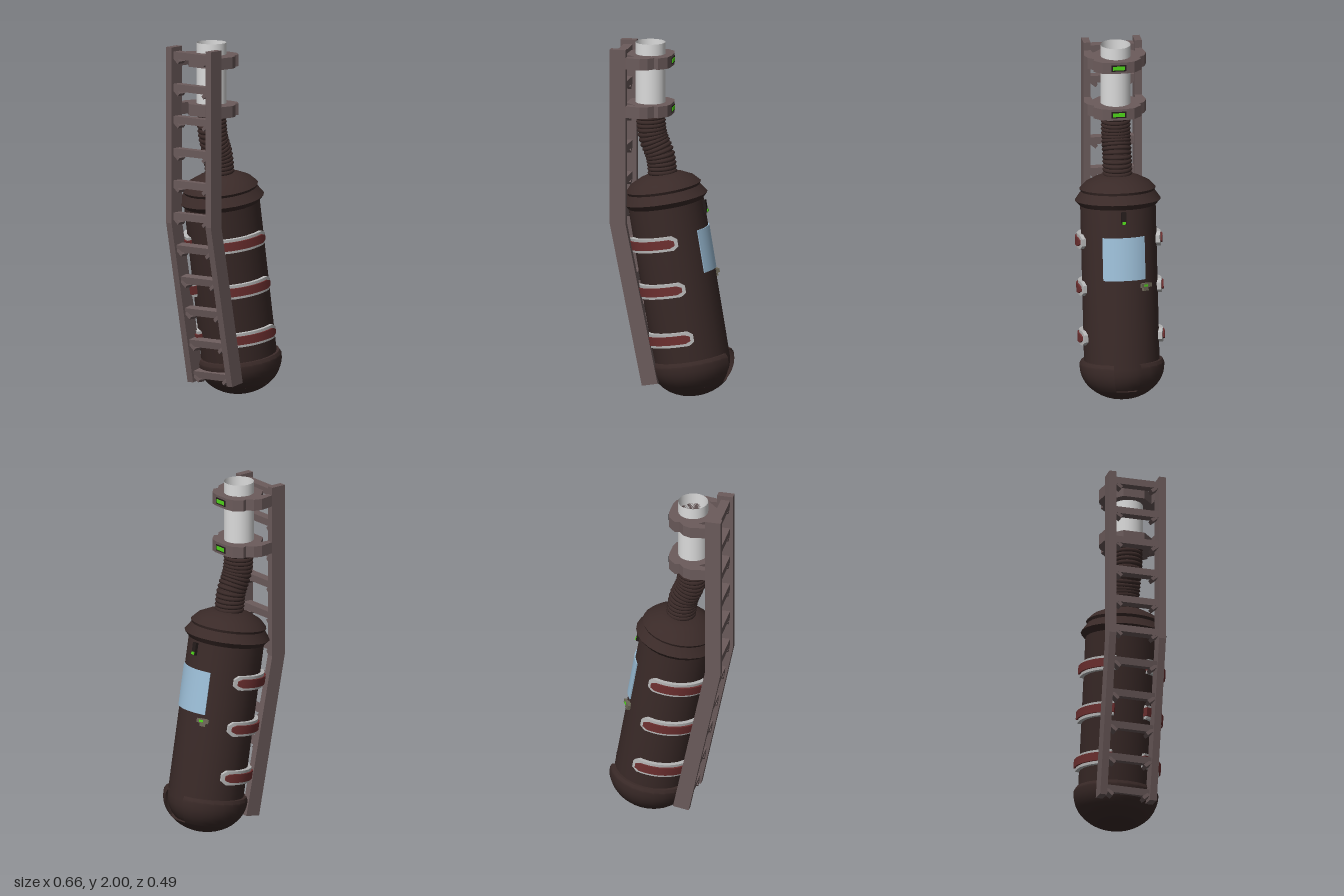
import * as THREE from 'three';
import { toCreasedNormals } from 'three/addons/utils/BufferGeometryUtils.js';

const mat = (name, color, side = THREE.FrontSide) => {
  const m = new THREE.MeshStandardMaterial({ color, side });
  m.name = name;
  return m;
};
const hullMat = mat('dark brown hull', 0x3a2a28, THREE.DoubleSide);
const frameMat = mat('grey brown frame', 0x6b5b5b);
const pipeMat = mat('pale grey pipe', 0xdcdcdc, THREE.DoubleSide);
const trimMat = mat('grey trim', 0xb8b8b8);
const redMat = mat('dull red', 0x6e3030);
const glassMat = mat('pale blue glass', 0x9bbdd6);
const greenMat = mat('green lamp', 0x4fd61a);
const latchMat = mat('olive latch', 0x6b6656);
const blackMat = mat('dark recess', 0x231b1a);

function add(parent, name, geometry, material, x = 0, y = 0, z = 0) {
  const mesh = new THREE.Mesh(geometry, material);
  mesh.name = name;
  mesh.position.set(x, y, z);
  parent.add(mesh);
  return mesh;
}
const box = (x, y, z) => new THREE.BoxGeometry(x, y, z);

function lathe(points, segments = 24, start = 0, length = Math.PI * 2) {
  const pts = points.map(([r, y]) => new THREE.Vector2(r, y));
  return toCreasedNormals(new THREE.LatheGeometry(pts, segments, start, length), 0.5);
}

// Points of an elliptical dome between two angles below the rim
function dome(a, b, from, to, n) {
  return Array.from({ length: n + 1 }, (_, i) => {
    const t = THREE.MathUtils.degToRad(from + (to - from) * i / n);
    return [Math.max(a * Math.cos(t), 0), -b * Math.sin(t)];
  });
}

// Plate bent round the hull; angles in degrees from +x towards +z.
// The end at angle 'tip' is chamfered.
function bentPlate(a0, a1, y0, y1, r0, r1, tip = null) {
  const g = new THREE.BoxGeometry(1, 1, 1, 12, 1, 1);
  const p = g.attributes.position;
  for (let i = 0; i < p.count; i++) {
    const deg = a1 - (p.getX(i) + 0.5) * (a1 - a0);
    const a = THREE.MathUtils.degToRad(deg);
    const k = tip !== null && Math.abs(deg - tip) < 0.1 ? 0.5 : 1;
    const y = (y0 + y1) / 2 + p.getY(i) * (y1 - y0) * k;
    const r = p.getZ(i) > 0 ? r1 : r0;
    p.setXYZ(i, r * Math.cos(a), y, r * Math.sin(a));
  }
  return toCreasedNormals(g, 0.5);
}

function buildPod() {
  const pod = new THREE.Group();
  pod.name = 'pod';
  pod.position.set(0.1, 0.195, 0);
  pod.rotation.z = THREE.MathUtils.degToRad(9.5);

  // Hull with collar and stepped conical cap
  add(pod, 'hull', lathe([
    ...dome(0.212, 0.188, 90, 0, 8), [0.212, 0.905], [0.24, 0.935], [0.205, 0.985],
    [0.213, 1.0], [0.18, 1.035], [0.12, 1.065], [0.085, 1.075], [0, 1.075],
  ]), hullMat);

  // Bottom cover with a notch at its front
  const notch = THREE.MathUtils.degToRad(19);
  add(pod, 'bottomCover', lathe([
    ...dome(0.237, 0.195, 42, 0, 6), [0.237, 0.012], [0.228, 0.03], [0.21, 0.03],
  ], 22, Math.PI / 2 + notch, Math.PI * 2 - notch * 2), hullMat);
  add(pod, 'bottomCap', lathe([...dome(0.237, 0.195, 90, 42, 6), [0.155, -0.128]]), hullMat);

  // Red side bands in grey trim, mirrored
  for (const y of [0.165, 0.445, 0.71]) {
    for (const s of [1, -1]) {
      const span = (a, b) => (s > 0 ? [a, b] : [-b, -a]);
      add(pod, 'bandTrim', bentPlate(...span(69, 156), y - 0.04, y + 0.04, 0.205, 0.234, 69 * s), trimMat);
      add(pod, 'band', bentPlate(...span(74, 157), y - 0.024, y + 0.024, 0.21, 0.244, 74 * s), redMat);
    }
  }

  // Front window
  add(pod, 'window', bentPlate(-33, 33, 0.506, 0.748, 0.212, 0.219), glassMat);

  // Lamp above the window
  add(pod, 'lampBody', box(0.025, 0.07, 0.028), blackMat, 0.215, 0.86, 0);
  add(pod, 'lampLight', box(0.008, 0.015, 0.02), greenMat, 0.229, 0.835, 0);

  // Latch below the window corner
  const latch = new THREE.Group();
  latch.name = 'latch';
  latch.rotation.y = THREE.MathUtils.degToRad(32);
  add(latch, 'latchHandle', box(0.016, 0.022, 0.07), latchMat, 0.226, 0.473, 0);
  add(latch, 'latchBase', box(0.02, 0.042, 0.034), latchMat, 0.218, 0.463, 0);
  add(latch, 'latchLight', box(0.006, 0.012, 0.022), greenMat, 0.234, 0.473, 0.008);
  pod.add(latch);
  return pod;
}

function buildHose() {
  const hose = new THREE.Group();
  hose.name = 'hose';
  const path = new THREE.CatmullRomCurve3([
    [-0.065, 1.22], [-0.083, 1.36], [-0.125, 1.47], [-0.14, 1.62],
  ].map(([x, y]) => new THREE.Vector3(x, y, 0)));
  add(hose, 'hoseCore', new THREE.TubeGeometry(path, 24, 0.072, 20), hullMat);
  const ring = new THREE.TorusGeometry(0.072, 0.012, 6, 20);
  const count = 19;
  for (let i = 0; i < count; i++) {
    const t = i / (count - 1);
    const rib = add(hose, 'hoseRib', ring, hullMat);
    rib.position.copy(path.getPointAt(t));
    rib.quaternion.setFromUnitVectors(new THREE.Vector3(0, 0, 1), path.getTangentAt(t));
  }
  return hose;
}

function buildLadder() {
  const ladder = new THREE.Group();
  ladder.name = 'ladder';
  const side = new THREE.Shape([
    [-0.335, 1.98], [-0.335, 0.99], [-0.152, 0.075], [-0.062, 0.09], [-0.245, 0.99], [-0.245, 1.98],
  ].map(([x, y]) => new THREE.Vector2(x, y)));
  const rail = new THREE.ExtrudeGeometry(side, { depth: 0.04, bevelEnabled: false });
  for (const z of [0.124, -0.164]) add(ladder, 'rail', rail, frameMat, 0, 0, z);

  // Rungs follow the bend of the rails
  for (let i = 0; i < 11; i++) {
    const y = 1.935 - i * 0.181;
    const low = Math.max(0, 0.99 - y);
    const rung = add(ladder, 'rung', box(0.052, 0.04, 0.26), frameMat, -0.293 + low * 0.2, y, 0);
    if (low > 0) rung.rotation.z = 0.2;
    // Small corner braces under each rung end
    for (const s of [1, -1]) {
      const brace = add(ladder, 'rungBrace', box(0.05, 0.02, 0.055), frameMat,
        rung.position.x, y - 0.022, s * 0.108);
      brace.rotation.x = -s * 0.7;
    }
  }
  return ladder;
}

function buildClamp(y) {
  const clamp = new THREE.Group();
  clamp.name = 'clamp';
  clamp.position.y = y;
  const half = [
    [-0.01, 0.045], [-0.02, 0.09], [-0.065, 0.135], [-0.09, 0.127], [-0.12, 0.16],
    [-0.163, 0.175], [-0.25, 0.16], [-0.25, 0.124], [-0.2, 0.12], [-0.262, 0.06],
  ];
  const outline = [...half, ...half.map(([x, z]) => [x, -z]).reverse()];
  const shape = new THREE.Shape(outline.map(([x, z]) => new THREE.Vector2(x, z)));
  shape.holes.push(new THREE.Path().absarc(-0.138, 0, 0.084, 0, Math.PI * 2, true));
  const g = new THREE.ExtrudeGeometry(shape, { depth: 0.065, bevelEnabled: false, curveSegments: 12 });
  g.rotateX(-Math.PI / 2);
  add(clamp, 'clampRing', g, frameMat);
  add(clamp, 'clampLampFrame', box(0.006, 0.036, 0.084), blackMat, -0.01, 0.0325, 0);
  add(clamp, 'clampLamp', box(0.008, 0.022, 0.066), greenMat, -0.009, 0.0325, 0);
  return clamp;
}

export function createModel() {
  const model = new THREE.Group();
  model.name = 'escapePod';
  model.add(buildPod(), buildHose(), buildLadder(), buildClamp(1.595), buildClamp(1.87));

  // Open pipe with a floor low inside
  add(model, 'pipe', new THREE.CylinderGeometry(0.084, 0.084, 0.4, 24, 1, true), pipeMat, -0.138, 1.8, 0);
  const floor = add(model, 'pipeFloor', new THREE.CircleGeometry(0.084, 24), pipeMat, -0.138, 1.62, 0);
  floor.rotation.x = -Math.PI / 2;
  return model;
}
